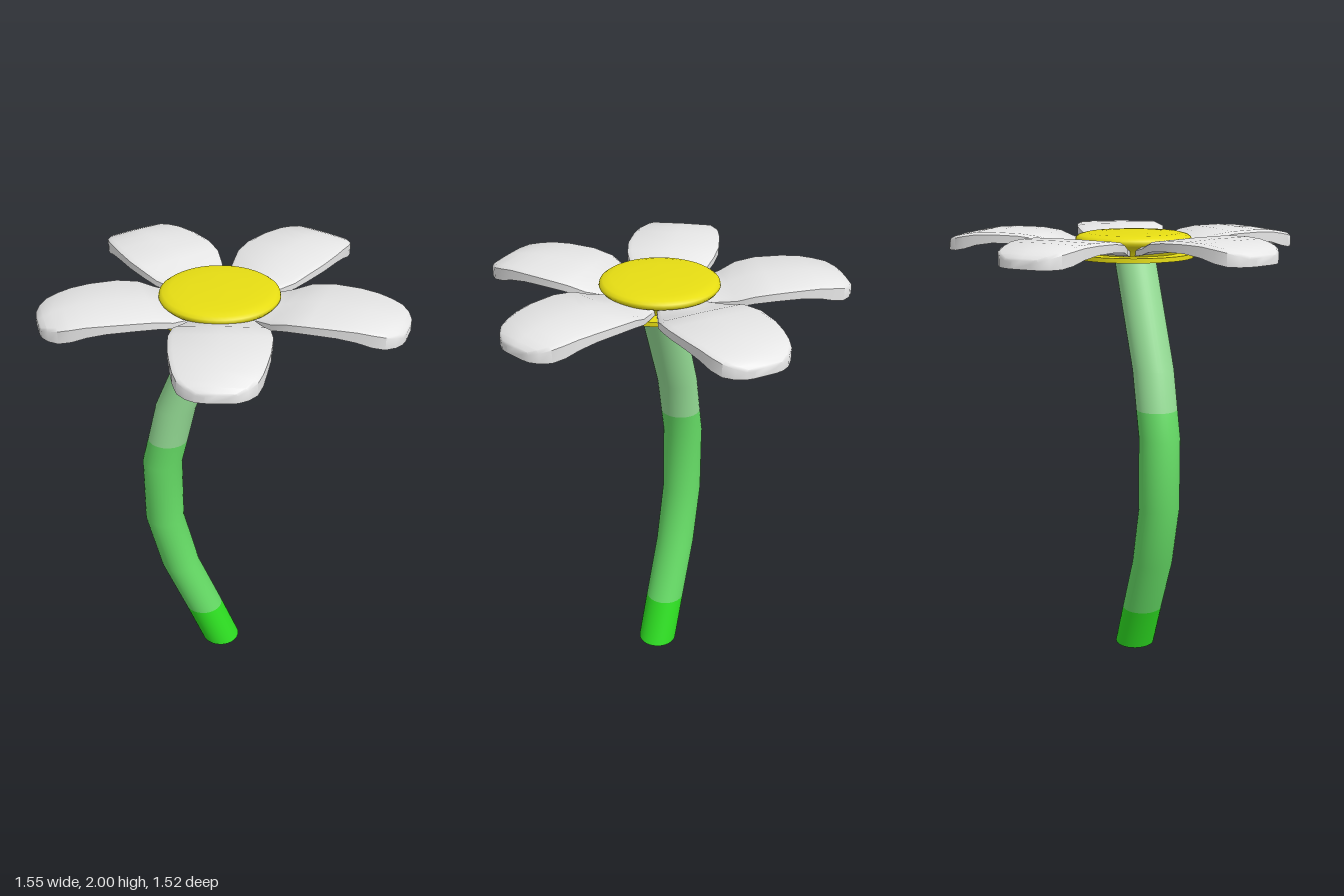
import * as THREE from 'three';
import { toCreasedNormals } from 'three/addons/utils/BufferGeometryUtils.js';

function material(name, color) {
  const m = new THREE.MeshStandardMaterial({ color });
  m.name = name;
  return m;
}

function addMesh(parent, name, geometry, mat) {
  const mesh = new THREE.Mesh(geometry, mat);
  mesh.name = name;
  parent.add(mesh);
  return mesh;
}

// Stem section: a cylinder whose horizontal rings follow [x, y] points
function stemGeometry(path, openEnded) {
  const n = path.length - 1;
  const geo = new THREE.CylinderGeometry(0.093, 0.093, 1, 32, n, openEnded);
  const p = geo.attributes.position;
  for (let i = 0; i < p.count; i++) {
    const [x, y] = path[Math.round((p.getY(i) + 0.5) * n)];
    p.setXYZ(i, p.getX(i) + x, y, p.getZ(i) - 0.03);
  }
  return toCreasedNormals(geo, 0.6);
}

// Petal: cross-sections [distance, half width, bottom, top] lofted along +z
function petalGeometry() {
  const sections = [
    [0.08, 0.09, 1.907, 1.935],
    [0.17, 0.133, 1.91, 1.945],
    [0.25, 0.172, 1.922, 1.96],
    [0.32, 0.197, 1.942, 1.985],
    [0.41, 0.208, 1.952, 1.997],
    [0.53, 0.2, 1.952, 2.0],
    [0.61, 0.186, 1.94, 1.997],
    [0.67, 0.172, 1.922, 1.988],
    [0.72, 0.152, 1.912, 1.978],
    [0.755, 0.118, 1.91, 1.965],
    [0.775, 0.08, 1.91, 1.952],
    [0.78, 0.045, 1.91, 1.945],
  ];
  const verts = [], index = [];
  const n = 7, last = (sections.length - 1) * n;
  for (const [r, w, bottom, top] of sections) {
    const ring = [
      [-1, bottom], [-1, top - 0.012], [-0.9, top - 0.002], [0, top],
      [0.9, top - 0.002], [1, top - 0.012], [1, bottom],
    ];
    for (const [s, y] of ring) verts.push(s * w, y, r);
  }
  for (let i = 0; i < sections.length - 1; i++) {
    for (let j = 0; j < n; j++) {
      const a = i * n + j, b = i * n + (j + 1) % n;
      index.push(a, b + n, b, a, a + n, b + n);
    }
  }
  for (let j = 1; j < n - 1; j++) {
    index.push(0, j, j + 1, last, last + j + 1, last + j);
  }
  const geo = new THREE.BufferGeometry();
  geo.setAttribute('position', new THREE.Float32BufferAttribute(verts, 3));
  geo.setIndex(index);
  return toCreasedNormals(geo, 0.8);
}

export function createModel() {
  const model = new THREE.Group();
  model.name = 'flower';
  const darkGreen = material('bright green', 0x2ee022);
  const midGreen = material('mid green', 0x66dd66);
  const paleGreen = material('pale green', 0x96de96);
  const yellow = material('yellow', 0xf0e614);
  const white = material('petal white', 0xe6e6e6);

  // Bent stem in three greens
  const stem = new THREE.Group();
  stem.name = 'stem';
  model.add(stem);
  addMesh(stem, 'stemBase', stemGeometry([[-0.02, 0], [-0.108, 0.22]], false), darkGreen);
  addMesh(stem, 'stemMiddle', stemGeometry([
    [-0.108, 0.22], [-0.22, 0.49], [-0.29, 0.78], [-0.29, 1.11], [-0.26, 1.235],
  ], true), midGreen);
  addMesh(stem, 'stemTop', stemGeometry([
    [-0.26, 1.235], [-0.22, 1.41], [-0.02, 1.89],
  ], true), paleGreen);

  // Flower centre: thin plate below, rounded cushion above
  const centre = new THREE.Group();
  centre.name = 'flowerCentre';
  centre.position.set(-0.02, 0, -0.035);
  model.add(centre);
  const plate = addMesh(centre, 'centrePlate', new THREE.CylinderGeometry(0.27, 0.27, 0.02, 48), yellow);
  plate.position.y = 1.895;
  const profile = [
    [0.2, 1.9], [0.215, 1.935], [0.25, 1.95], [0.26, 1.963],
    [0.257, 1.975], [0.243, 1.985], [0.21, 1.993], [0.13, 1.998], [0, 2.0],
  ].map(([x, y]) => new THREE.Vector2(x, y));
  addMesh(centre, 'centreCushion', new THREE.LatheGeometry(profile, 48), yellow);

  // Five petals: [turn in fifths, x, z]
  const petal = petalGeometry();
  const places = [
    [0, 0, -0.03],
    [1, 0.015, -0.04], [-1, -0.015, -0.04],
    [2, 0.017, -0.087], [-2, -0.017, -0.087],
  ];
  for (const [turn, x, z] of places) {
    const mesh = addMesh(model, 'petal', petal, white);
    mesh.position.set(x, 0, z);
    mesh.rotation.y = turn * Math.PI * 0.4;
  }
  return model;
}
